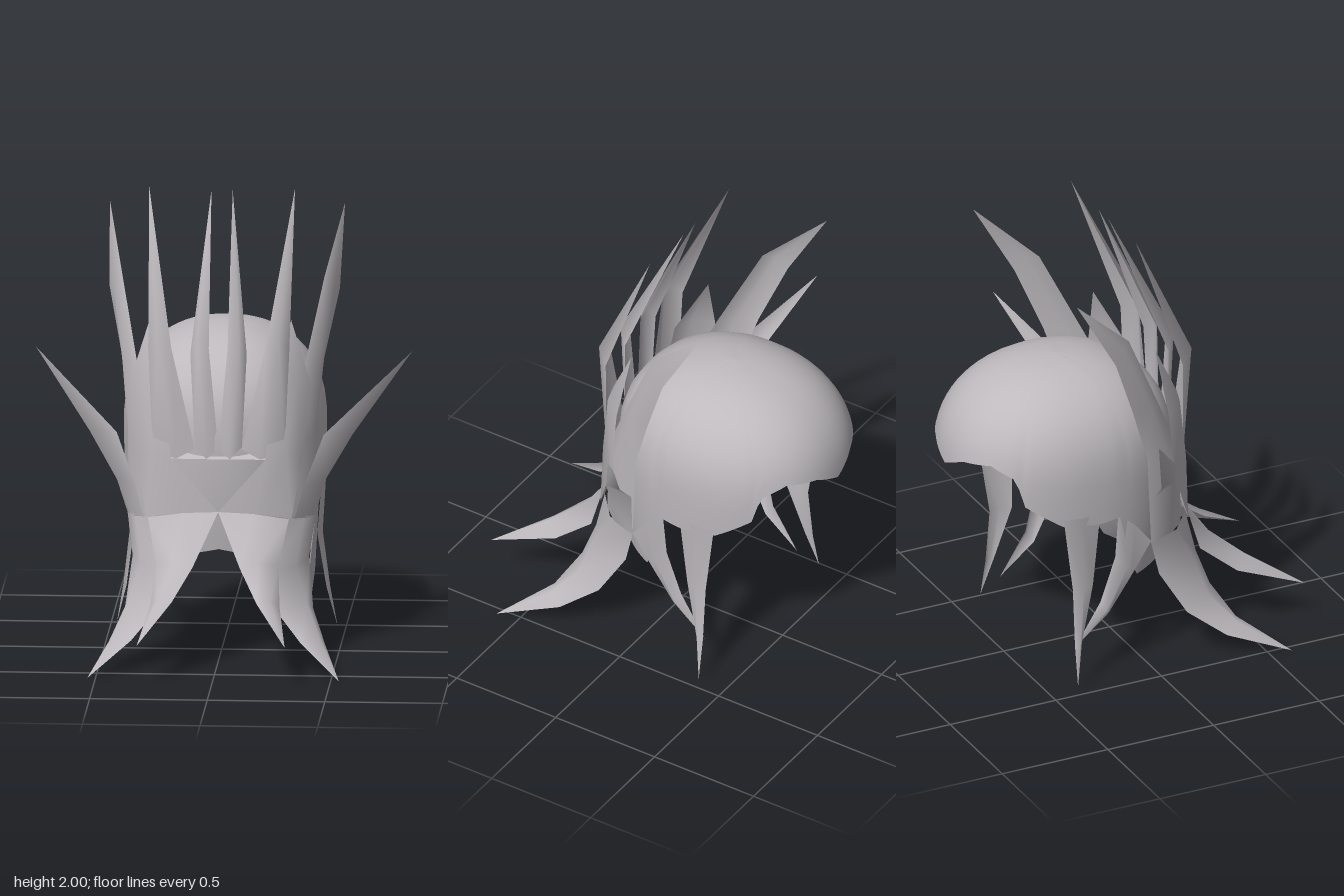
import * as THREE from 'three';

const hair = new THREE.MeshStandardMaterial({ color: 0xbdb9bd, side: THREE.DoubleSide });
hair.name = 'silver grey hair';

function surface(name, points, index) {
  const g = new THREE.BufferGeometry();
  g.setAttribute('position', new THREE.Float32BufferAttribute(points.flat(), 3));
  g.setIndex(index);
  g.computeVertexNormals();
  const mesh = new THREE.Mesh(g, hair);
  mesh.name = name;
  return mesh;
}

// A lock is a folded strip: rows of [edge, ridge, edge] that end in one tip.
function lock(name, rows, tip, side) {
  const pts = [...rows.flat(), tip].map(([x, y, z]) => [x * side, y, z]);
  const index = [];
  const last = rows.length - 1;
  for (let r = 0; r <= last; r++) {
    for (let i = 0; i < 2; i++) {
      const a = r * 3 + i, b = a + 1;
      const quad = r < last ? [a, b, a + 3, b, b + 3, a + 3] : [a, b, pts.length - 1];
      for (let k = 0; k < quad.length; k += 3) {
        index.push(quad[k], ...(side > 0 ? [quad[k + 1], quad[k + 2]] : [quad[k + 2], quad[k + 1]]));
      }
    }
  }
  return surface(name, pts, index);
}

// Hairline height by angle, from the pointed brow (0) round to the nape (180)
const hairline = [[0, 0.97], [18, 1.03], [36, 1.05], [50, 1.0], [53, 0.88], [72, 0.77],
  [91, 0.75], [103, 0.76], [108, 0.55], [117, 0.435], [129, 0.445], [166, 0.46], [180, 0.48]];

function hairlineY(deg) {
  const i = Math.max(1, hairline.findIndex(([d]) => d >= deg));
  const [d0, y0] = hairline[i - 1], [d1, y1] = hairline[i];
  return y0 + (y1 - y0) * (deg - d0) / (d1 - d0);
}

// Rounded scalp shell, open below and at the face, running down to the nape
function scalp() {
  const N = 120, M = 16, p = 2.25, plan = 2.2, mid = 0.95, rise = 0.43, drop = 0.5;
  const pts = [], index = [];
  for (let j = 0; j < N; j++) {
    const deg = j * 360 / N, phi = deg * Math.PI / 180;
    const c = Math.cos(phi), sn = Math.sin(phi);
    const round = Math.pow(Math.abs(c) ** plan + Math.abs(sn) ** plan, -1 / plan);
    const edge = hairlineY(deg > 180 ? 360 - deg : deg);
    const reach = edge >= mid
      ? Math.acos(Math.pow((edge - mid) / rise, p / 2)) * 2 / Math.PI
      : 1 + (mid - edge) / drop;
    for (let i = 0; i <= M; i++) {
      const q = reach * i / M;
      let y, s;
      if (q < 1) {
        y = mid + rise * Math.pow(Math.cos(q * Math.PI / 2), 2 / p);
        s = Math.pow(Math.sin(q * Math.PI / 2), 2 / p);
      } else {
        y = mid - drop * (q - 1);
        s = 1 - 0.08 * (q - 1) ** 2;
      }
      s *= round;
      pts.push([0.43 * s * sn, y, -0.26 - s * c * (c > 0 ? 0.52 : 0.5)]);
      if (i < M) {
        const a = j * (M + 1) + i, b = ((j + 1) % N) * (M + 1) + i;
        if (i > 0) index.push(a, b + 1, b);
        index.push(a, a + 1, b + 1);
      }
    }
  }
  return surface('scalp', pts, index);
}

// Locks of the left half, each with its rows and tip
const locks = {
  innerCrestLock: [[
    [[0, 0.92, 0.235], [0.05, 0.88, 0.25], [0.1, 0.93, 0.23]],
    [[0.04, 1.36, 0.245], [0.09, 1.4, 0.26], [0.12, 1.33, 0.22]]], [0.045, 1.99, -0.03]],
  outerCrestLock: [[
    [[0.1, 0.92, 0.235], [0.18, 0.88, 0.245], [0.28, 0.9, 0.21]],
    [[0.2, 1.36, 0.24], [0.26, 1.4, 0.26], [0.3, 1.35, 0.2]]], [0.31, 2, -0.03]],
  shortLock: [[
    [[0, 0.65, 0.245], [0.16, 0.645, 0.25], [0.31, 0.62, 0.22]],
    [[0.2, 0.88, 0.25], [0.29, 0.9, 0.22], [0.35, 0.85, 0.14]],
    [[0.24, 1.2, 0.2], [0.33, 1.2, 0.17], [0.385, 1.18, 0.09]]], [0.3, 1.45, 0.07]],
  tallSideLock: [[
    [[0.28, 0.62, 0.2], [0.37, 0.605, 0.12], [0.4, 0.59, 0]],
    [[0.3, 0.95, 0.18], [0.39, 0.95, 0.1], [0.405, 1, -0.02]],
    [[0.35, 1.22, 0.06], [0.42, 1.23, 0], [0.43, 1.25, -0.1]],
    [[0.43, 1.6, -0.12], [0.475, 1.58, -0.16], [0.49, 1.53, -0.21]]], [0.5, 1.86, -0.4]],
  wideSideLock: [[
    [[0.32, 0.61, 0.18], [0.385, 0.61, 0.1], [0.4, 0.59, 0]],
    [[0.36, 0.75, 0.15], [0.44, 0.75, 0.08], [0.41, 0.8, 0]],
    [[0.44, 0.96, 0.1], [0.56, 0.95, 0.03], [0.5, 0.9, 0]]], [0.8, 1.27, -0.16]],
  // ledge joining the scalp to the foot of the crest
  crestLedge: [[
    [[0, 0.93, 0.19], [0, 0.905, 0.225], [0, 0.88, 0.25]],
    [[0.17, 0.93, 0.17], [0.185, 0.905, 0.215], [0.2, 0.88, 0.245]],
    [[0.27, 0.94, 0.11], [0.285, 0.92, 0.17], [0.3, 0.9, 0.205]],
    [[0.33, 0.95, 0.05], [0.345, 0.92, 0.09], [0.36, 0.89, 0.125]]], [0.4, 0.9, -0.01]],
  innerLowerLock: [[
    [[0, 0.65, 0.245], [0.15, 0.645, 0.25], [0.3, 0.62, 0.23]],
    [[0.1, 0.44, 0.39], [0.18, 0.46, 0.38], [0.26, 0.43, 0.3]],
    [[0.18, 0.32, 0.54], [0.24, 0.33, 0.54], [0.275, 0.29, 0.47]]], [0.315, 0.18, 0.77]],
  outerLowerLock: [[
    [[0.26, 0.625, 0.23], [0.36, 0.605, 0.14], [0.4, 0.59, 0]],
    [[0.22, 0.4, 0.3], [0.33, 0.42, 0.24], [0.375, 0.42, 0.05]],
    [[0.25, 0.25, 0.35], [0.38, 0.27, 0.28], [0.4, 0.22, 0.17]],
    [[0.36, 0.125, 0.42], [0.44, 0.14, 0.39], [0.46, 0.1, 0.33]]], [0.535, 0, 0.6]],
  earLock: [[
    [[0.4, 0.6, 0], [0.41, 0.7, -0.08], [0.41, 0.77, -0.16]],
    [[0.38, 0.45, -0.08], [0.4, 0.5, -0.11], [0.38, 0.55, -0.16]],
    [[0.36, 0.28, -0.18], [0.385, 0.31, -0.2], [0.36, 0.34, -0.22]]], [0.36, 0.15, -0.34]],
  sideburnLock: [[
    [[0.42, 0.8, -0.25], [0.43, 0.8, -0.34], [0.415, 0.8, -0.42]],
    [[0.39, 0.45, -0.27], [0.41, 0.45, -0.32], [0.4, 0.45, -0.37]],
    [[0.425, 0.2, -0.34], [0.44, 0.2, -0.355], [0.43, 0.2, -0.375]]], [0.47, 0.02, -0.38]],
};

export function createModel() {
  const model = new THREE.Group();
  model.name = 'spikyHair';
  model.add(scalp());
  for (const [name, [rows, tip]] of Object.entries(locks)) {
    for (const side of [1, -1]) {
      model.add(lock(name + (side > 0 ? 'Left' : 'Right'), rows, tip, side));
    }
  }
  return model;
}
